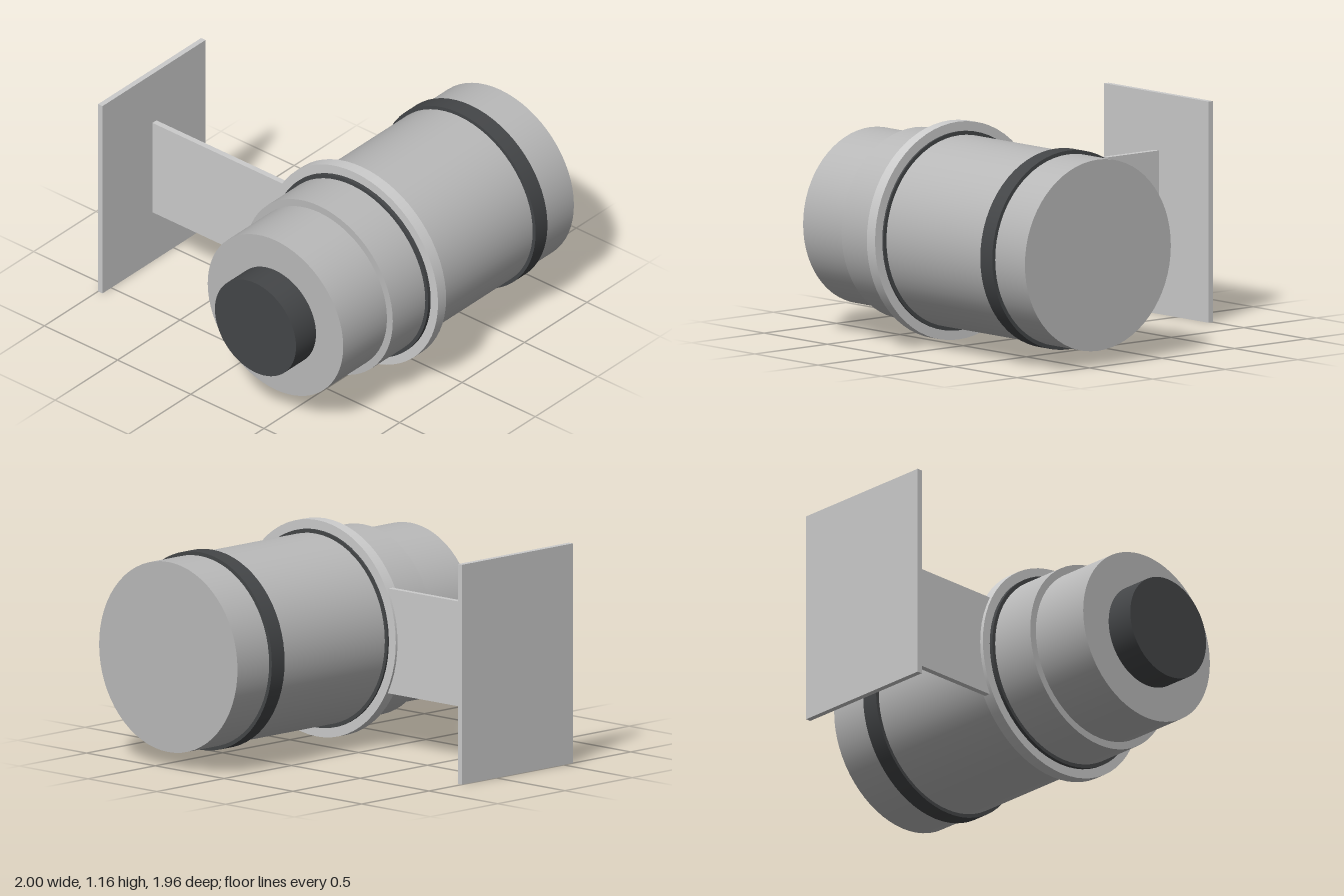
import * as THREE from 'three';

const AXIS_X = 0.425, AXIS_Y = 0.583;

export function createModel() {
  const model = new THREE.Group();
  model.name = 'wallMountedCamera';

  const light = new THREE.MeshStandardMaterial({ color: 0xcccccc });
  const grey = new THREE.MeshStandardMaterial({ color: 0xb9b9b9 });
  const dark = new THREE.MeshStandardMaterial({ color: 0x444648 });

  function add(name, geometry, material, x, y, z) {
    const mesh = new THREE.Mesh(geometry, material);
    mesh.name = name;
    mesh.position.set(x, y, z);
    model.add(mesh);
  }

  // Closed drum lying along z between two depths
  function drum(name, radius, z0, z1, material) {
    const geometry = new THREE.CylinderGeometry(radius, radius, z1 - z0, 64);
    geometry.rotateX(Math.PI / 2);
    add(name, geometry, material, AXIS_X, AXIS_Y, (z0 + z1) / 2);
  }

  // Box given by its two opposite corners
  function block(name, [x0, y0, z0], [x1, y1, z1], material) {
    add(name, new THREE.BoxGeometry(x1 - x0, y1 - y0, z1 - z0), material,
      (x0 + x1) / 2, (y0 + y1) / 2, (z0 + z1) / 2);
  }

  // Stepped barrel and lens
  drum('mainBody', 0.503, -0.98, 0.47, grey);
  drum('frontBarrel', 0.463, 0.47, 0.82, grey);
  drum('lens', 0.277, 0.82, 0.98, dark);

  // Dark bands around the body
  drum('rearBand', 0.523, -0.745, -0.65, dark);
  drum('frontBand', 0.523, 0.115, 0.21, dark);

  // Clamp ring over the front band
  drum('clampRing', 0.573, 0.125, 0.19, light);

  // Wall bracket
  block('bracketArm', [-0.97, 0.305, 0.138], [-0.08, 0.86, 0.17], light);
  block('wallPlate', [-1, 0, -0.255], [-0.97, 1.163, 0.57], light);

  return model;
}
